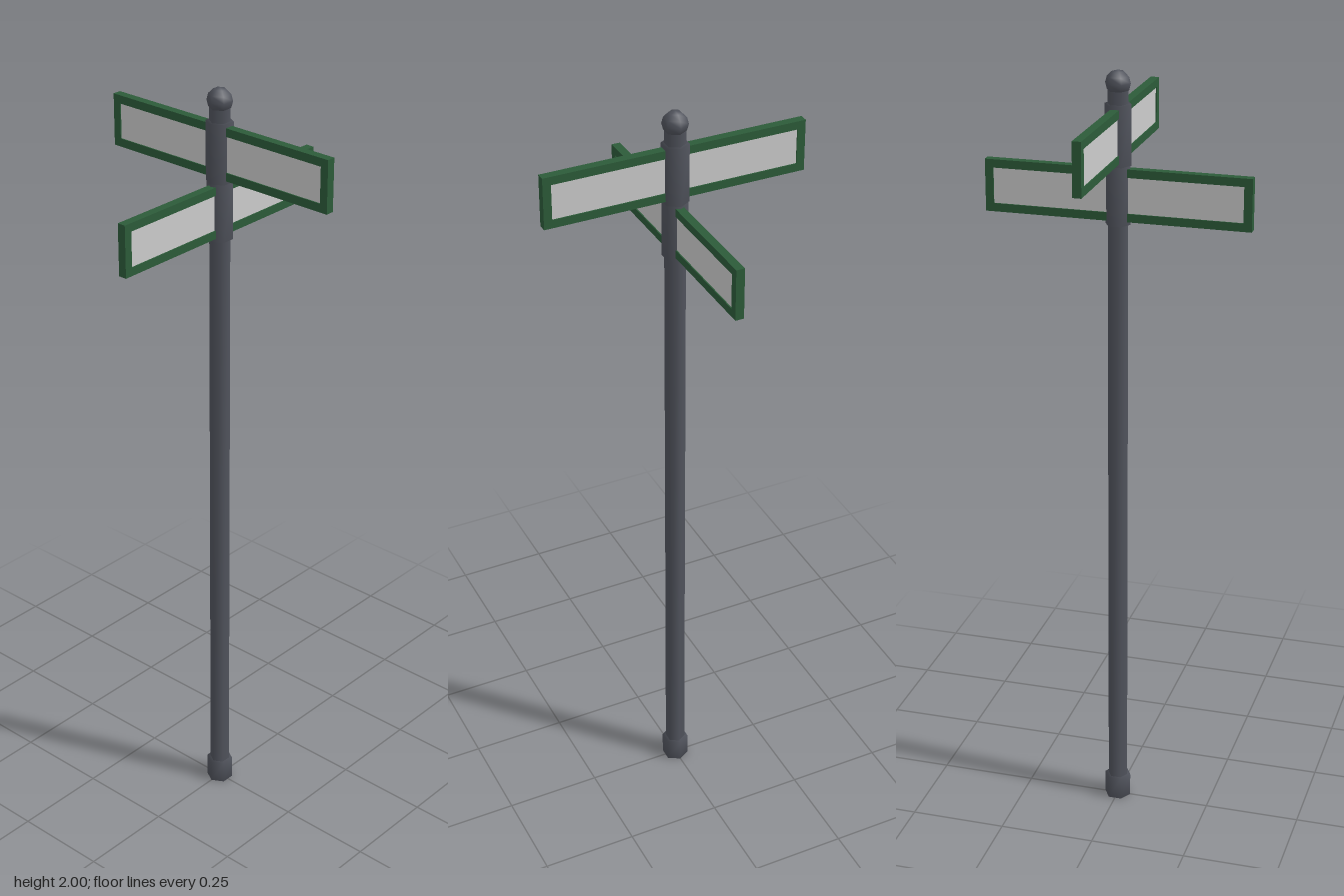
import * as THREE from 'three';
import { mergeVertices } from 'three/addons/utils/BufferGeometryUtils.js';

const metal = new THREE.MeshStandardMaterial({ color: 0x50535c });
const green = new THREE.MeshStandardMaterial({ color: 0x2c5b39 });
const grey = new THREE.MeshStandardMaterial({ color: 0xcccccc });

// Welds a geometry so that shading runs smoothly over its edges
function soften(geometry) {
  geometry.deleteAttribute('uv');
  geometry.deleteAttribute('normal');
  const welded = mergeVertices(geometry);
  welded.computeVertexNormals();
  return welded;
}

function addMesh(parent, name, geometry, material) {
  const mesh = new THREE.Mesh(geometry, material);
  mesh.name = name;
  parent.add(mesh);
  return mesh;
}

// Six-sided post section between two heights
function addSection(parent, name, radius, y0, y1) {
  const geometry = soften(new THREE.CylinderGeometry(radius, radius, y1 - y0, 6));
  addMesh(parent, name, geometry, metal).position.y = (y0 + y1) / 2;
}

function rectangle(Type, w, h) {
  return new Type([[-w, -h], [w, -h], [w, h], [-w, h]].map(([x, y]) => new THREE.Vector2(x / 2, y / 2)));
}

// Framed blade with a panel showing on both faces
function createSign(name) {
  const width = 0.674, height = 0.132, depth = 0.022, rim = 0.021;
  const sign = new THREE.Group();
  sign.name = name;
  const outline = rectangle(THREE.Shape, width, height);
  outline.holes.push(rectangle(THREE.Path, width - 2 * rim, height - 2 * rim));
  const frame = new THREE.ExtrudeGeometry(outline, { depth, bevelEnabled: false });
  frame.translate(0, 0, -depth / 2);
  addMesh(sign, 'signFrame', frame, green);
  addMesh(sign, 'signPanel', new THREE.BoxGeometry(width - 2 * rim, height - 2 * rim, 0.016), grey);
  return sign;
}

export function createModel() {
  const model = new THREE.Group();
  model.name = 'streetSignPost';

  // Post, foot and the two sign clamps
  addSection(model, 'pole', 0.026, 0.03, 1.96);
  addSection(model, 'foot', 0.035, 0, 0.062);
  addSection(model, 'lowerClamp', 0.032, 1.62, 1.768);
  addSection(model, 'upperClamp', 0.034, 1.768, 1.918);

  // Ball finial, turned to line up with the post's corners
  const ball = addMesh(model, 'finial', soften(new THREE.SphereGeometry(0.032, 6, 6)), metal);
  ball.position.y = 1.968;
  ball.rotation.y = Math.PI / 2;

  // Crossed signs
  const upper = createSign('upperSign');
  upper.position.y = 1.843;
  const lower = createSign('lowerSign');
  lower.position.y = 1.695;
  lower.rotation.y = Math.PI / 2;
  model.add(upper, lower);

  return model;
}
